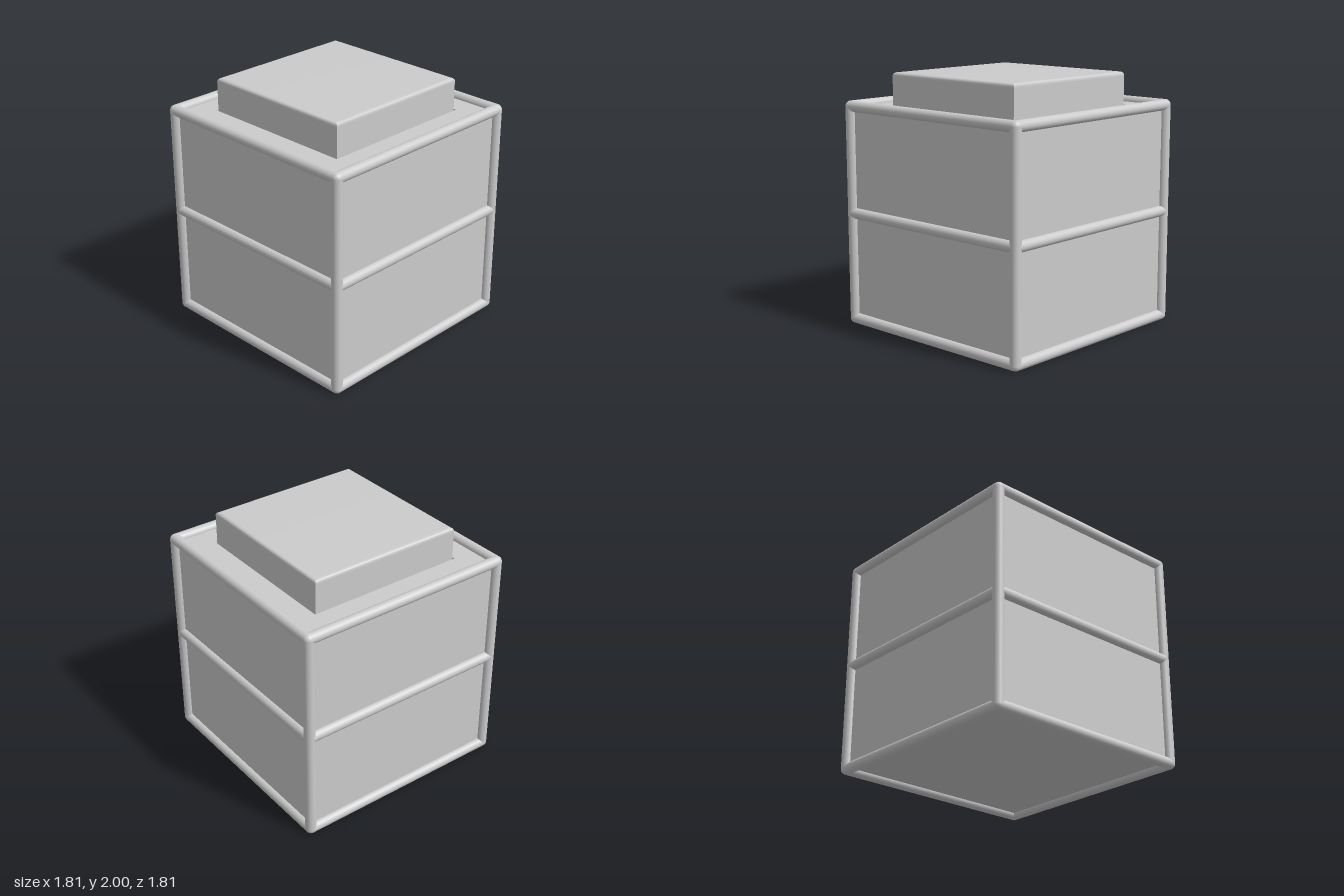
import * as THREE from 'three';
import { toCreasedNormals } from 'three/addons/utils/BufferGeometryUtils.js';

const material = new THREE.MeshStandardMaterial({ color: 0xcccccc });
const R = 0.043;                     // rail radius
const C = 0.863;                     // rail centre line, also the panel plane
const LOW = R, MID = 0.897, HIGH = 1.74;

// Square block from a profile of [half width, height] points, bottom to top
function squareBlock(name, profile) {
  const points = profile.map(([w, y]) => new THREE.Vector2(w * Math.SQRT2, y));
  const geometry = new THREE.LatheGeometry(points, 4, Math.PI / 4);
  const mesh = new THREE.Mesh(toCreasedNormals(geometry, 0.6), material);
  mesh.name = name;
  return mesh;
}

export function createModel() {
  const model = new THREE.Group();

  // Box body with a shallow square recess for the lid
  model.add(squareBlock('body', [
    [0, LOW], [C, LOW], [C, HIGH], [0.645, HIGH], [0.645, 1.71], [0, 1.71],
  ]));

  // Lid with rounded top edges and sharp vertical corners
  const half = 0.633, bevel = 0.028, steps = 6;
  const lid = [[half, 1.71], [half, 1.969]];
  for (let i = 0; i <= steps; i++) {
    const a = (i / steps) * Math.PI / 2;
    lid.push([half - bevel + bevel * Math.cos(a), 2 - bevel + bevel * Math.sin(a)]);
  }
  lid.push([half - bevel - 0.003, 2], [0, 2]);
  model.add(squareBlock('lid', lid));

  // Round frame: four posts and three rings of rails, with ball corners
  const frame = new THREE.Group();
  frame.name = 'frame';
  model.add(frame);

  const postGeometry = new THREE.CylinderGeometry(R, R, HIGH - LOW, 32, 1, true);
  const railGeometry = new THREE.CylinderGeometry(R, R, 2 * C, 32, 1, true).rotateZ(Math.PI / 2);
  const cornerGeometry = new THREE.SphereGeometry(R, 32, 20);

  const add = (parent, name, geometry, x, y, z) => {
    const mesh = new THREE.Mesh(geometry, material);
    mesh.name = name;
    mesh.position.set(x, y, z);
    parent.add(mesh);
  };

  for (let i = 0; i < 4; i++) {
    const side = new THREE.Group();
    side.name = 'frameSide';
    side.rotation.y = i * Math.PI / 2;
    add(side, 'post', postGeometry, C, (LOW + HIGH) / 2, C);
    add(side, 'bottomRail', railGeometry, 0, LOW, C);
    add(side, 'middleRail', railGeometry, 0, MID, C);
    add(side, 'topRail', railGeometry, 0, HIGH, C);
    add(side, 'bottomCorner', cornerGeometry, C, LOW, C);
    add(side, 'topCorner', cornerGeometry, C, HIGH, C);
    frame.add(side);
  }

  return model;
}
